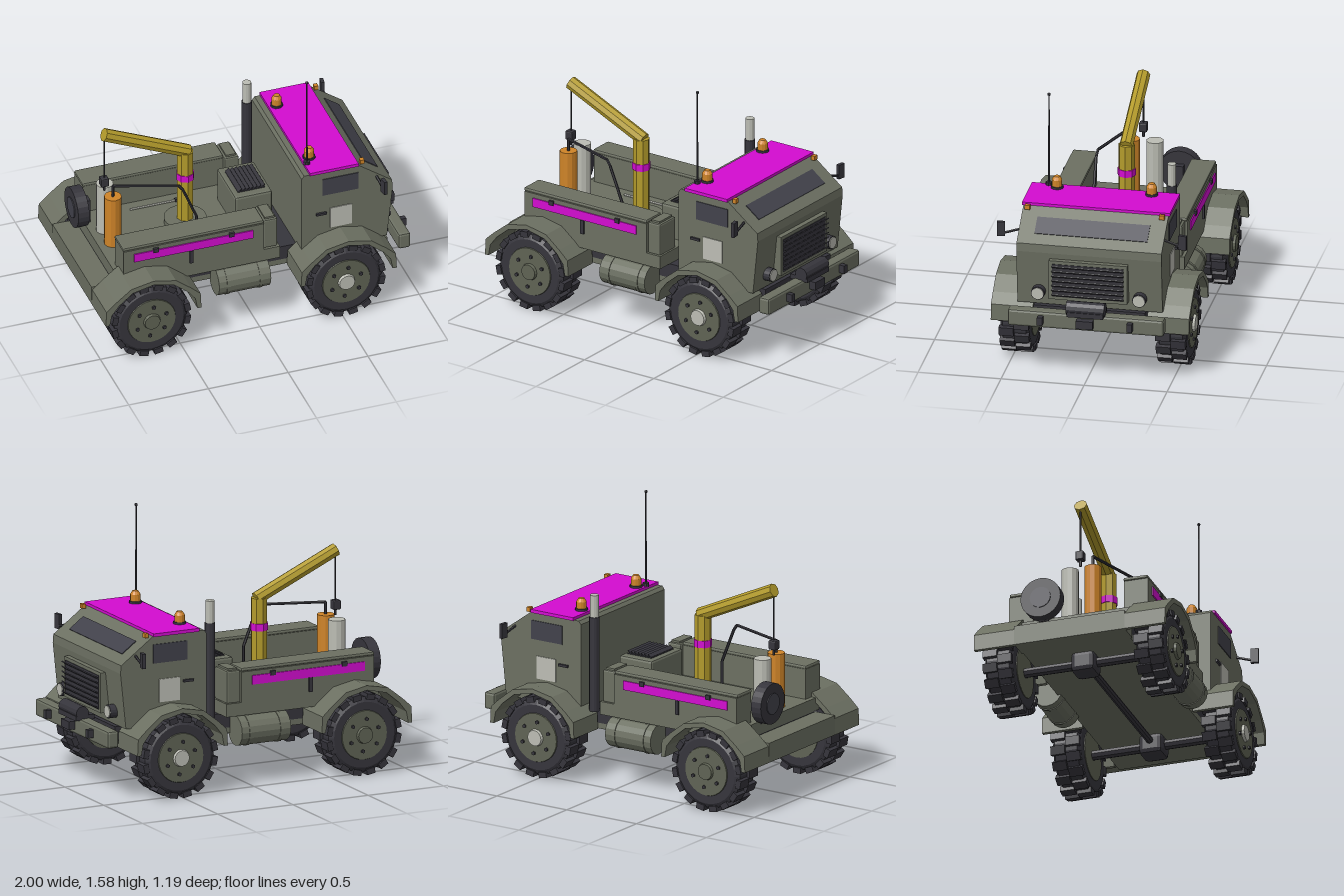
import * as THREE from 'three';
import { RoundedBoxGeometry } from 'three/addons/geometries/RoundedBoxGeometry.js';

const mat = (name, color) => Object.assign(new THREE.MeshStandardMaterial({ color, flatShading: true }), { name });

export function createModel() {
  const M = {
    olive: mat('olive paint', 0x6c7062), dark: mat('black rubber and steel', 0x36353c),
    glass: mat('dark glass', 0x42424b), magenta: mat('magenta paint', 0xd30cd0),
    yellow: mat('crane yellow', 0xb39b2b), orange: mat('orange', 0xcf8428),
    light: mat('light grey', 0xbcbdb4), rim: mat('rim olive', 0x5f6354),
  };
  const truck = new THREE.Group();
  truck.name = 'utilityTruck';

  const add = (name, geo, m, x = 0, y = 0, z = 0, parent = truck) => {
    const mesh = new THREE.Mesh(geo, m);
    mesh.name = name;
    mesh.position.set(x, y, z);
    parent.add(mesh);
    return mesh;
  };
  // box given by its limits on each axis
  const box = (name, m, x0, x1, y0, y1, z0, z1, r = 0) => add(name,
    r ? new RoundedBoxGeometry(x1 - x0, y1 - y0, z1 - z0, 1, r) : new THREE.BoxGeometry(x1 - x0, y1 - y0, z1 - z0),
    m, (x0 + x1) / 2, (y0 + y1) / 2, (z0 + z1) / 2);
  // round bar between two points
  const bar = (name, m, a, b, r, n = 8, r2 = r) => {
    const p = new THREE.Vector3(...a), q = new THREE.Vector3(...b), d = q.clone().sub(p);
    const mesh = add(name, new THREE.CylinderGeometry(r2, r, d.length(), n), m);
    mesh.position.copy(p).add(q).multiplyScalar(0.5);
    mesh.quaternion.setFromUnitVectors(new THREE.Vector3(0, 1, 0), d.normalize());
    return mesh;
  };
  // outline in x and y, extruded from z0 to z1
  const extrude = (name, m, pts, z0, z1, x = 0) => {
    const shape = new THREE.Shape(pts.map(p => new THREE.Vector2(...p)));
    return add(name, new THREE.ExtrudeGeometry(shape, { depth: z1 - z0, bevelEnabled: false }), m, x, 0, z0);
  };
  const sides = fn => [1, -1].forEach(fn);
  // box on both sides, limits given for the +z side
  const pair = (name, m, x0, x1, y0, y1, z0, z1, r) =>
    sides(s => box(name, m, x0, x1, y0, y1, Math.min(s * z0, s * z1), Math.max(s * z0, s * z1), r));

  // chassis and drive train
  box('chassisFrame', M.dark, -0.86, 0.84, 0.335, 0.425, -0.335, 0.335);
  box('underbody', M.olive, -0.86, 0.86, 0.3, 0.335, -0.335, 0.335);
  bar('driveShaft', M.dark, [-0.7, 0.26, 0], [0.52, 0.26, 0], 0.022);
  for (const x of [-0.7, 0.52]) {
    bar('axle', M.dark, [x, 0.25, -0.42], [x, 0.25, 0.42], 0.03);
    box('differential', M.dark, x - 0.075, x + 0.075, 0.18, 0.31, -0.075, 0.075, 0.03);
  }
  sides(s => {
    bar('fuelTank', M.olive, [-0.25, 0.33, s * 0.4], [0.075, 0.33, s * 0.4], 0.092, 16);
    for (const x of [-0.19, 0.015]) bar('tankStrap', M.olive, [x - 0.01, 0.33, s * 0.4], [x + 0.01, 0.33, s * 0.4], 0.096, 16);
  });

  // wheels with staggered tread lugs
  const wheel = (x, s, hubMat) => {
    const g = new THREE.Group();
    g.name = 'wheel';
    g.position.set(x, 0.25, s * 0.472);
    if (s < 0) g.rotation.y = Math.PI;
    truck.add(g);
    const disc = (name, r, r2, w, n, m, z, px = 0, py = 0) =>
      add(name, new THREE.CylinderGeometry(r2, r, w, n).rotateX(Math.PI / 2), m, px, py, z, g);
    disc('tyre', 0.228, 0.228, 0.14, 28, M.dark, 0);
    disc('tyreOuterWall', 0.228, 0.2, 0.018, 28, M.dark, 0.079);
    disc('tyreInnerWall', 0.2, 0.228, 0.018, 28, M.dark, -0.079);
    disc('rim', 0.153, 0.148, 0.012, 28, M.rim, 0.088);
    disc('innerRim', 0.15, 0.15, 0.008, 28, M.rim, -0.088);
    disc('hub', 0.054, 0.048, 0.02, 16, hubMat, 0.1);
    for (let i = 0; i < 6; i++) {
      const a = i * Math.PI / 3 + 0.4;
      disc('wheelBolt', 0.012, 0.012, 0.012, 6, M.dark, 0.098, 0.098 * Math.cos(a), 0.098 * Math.sin(a));
    }
    for (let i = 0; i < 32; i++) {
      const a = i * Math.PI / 16, z = i % 2 ? 0.046 : -0.046;
      const lug = add('treadLug', new THREE.BoxGeometry(0.035, 0.055, 0.088), M.dark, 0.23 * Math.cos(a), 0.23 * Math.sin(a), z, g);
      lug.rotation.z = a;
    }
  };
  sides(s => { wheel(-0.7, s, M.rim); wheel(0.52, s, M.light); });

  // arched fenders
  const outer = [[-0.3, 0.3], [-0.295, 0.4], [-0.235, 0.455], [-0.14, 0.53], [0, 0.558]];
  const inner = [[0, 0.53], [-0.13, 0.5], [-0.215, 0.43], [-0.262, 0.37], [-0.275, 0.3]];
  const flip = pts => pts.slice().reverse().map(([x, y]) => [-x, y]);
  const arch = [...outer, ...flip(outer).slice(1), ...flip(inner), ...inner.slice(1)];
  for (const x of [-0.7, 0.525]) {
    extrude('fender', M.olive, arch, 0.345, 0.597, x);
    extrude('fender', M.olive, arch, -0.597, -0.345, x);
  }

  // cab body
  extrude('cab', M.olive, [[0.285, 0.43], [0.82, 0.43], [0.856, 0.77], [0.852, 0.82], [0.64, 0.975], [0.3, 0.975], [0.285, 0.955]], -0.437, 0.437);
  box('roofPanel', M.magenta, 0.335, 0.64, 0.972, 0.992, -0.446, 0.446);
  const slope = Math.atan2(0.155, 0.212);
  add('windshield', new THREE.BoxGeometry(0.115, 0.008, 0.68), M.glass, 0.748, 0.897, 0).rotation.z = -slope;
  pair('sideWindow', M.glass, 0.415, 0.64, 0.81, 0.925, 0.435, 0.442);
  pair('doorPanel', M.light, 0.463, 0.6, 0.57, 0.71, 0.435, 0.442);
  pair('doorHandle', M.dark, 0.375, 0.44, 0.675, 0.69, 0.436, 0.45);
  sides(s => {
    bar('mirrorArm', M.dark, [0.755, 0.87, s * 0.43], [0.765, 0.835, s * 0.545], 0.008, 6);
    const mirror = add('mirror', new THREE.BoxGeometry(0.022, 0.09, 0.048), M.dark, 0.763, 0.865, s * 0.547);
    mirror.rotation.y = s * 0.15;
    box('markerLight', M.orange, 0.66, 0.685, 0.965, 0.992, s * 0.405 - 0.015, s * 0.405 + 0.015);
    bar('beaconBase', M.dark, [0.385, 0.99, s * 0.285], [0.385, 1.005, s * 0.285], 0.038, 12);
    bar('beacon', M.orange, [0.385, 1.003, s * 0.285], [0.385, 1.045, s * 0.285], 0.031, 12);
    bar('beaconTop', M.orange, [0.385, 1.045, s * 0.285], [0.385, 1.066, s * 0.285], 0.031, 12, 0.018);
  });
  bar('antennaBase', M.dark, [0.352, 0.985, 0.34], [0.352, 1.01, 0.34], 0.02);
  bar('antenna', M.dark, [0.352, 1, 0.34], [0.352, 1.57, 0.34], 0.006, 6, 0.004);
  add('antennaTip', new THREE.SphereGeometry(0.01, 8, 6), M.dark, 0.352, 1.572, 0.34);

  // grille, headlights, winch and bumper
  box('grilleFrame', M.olive, 0.82, 0.884, 0.49, 0.735, -0.236, 0.236);
  box('grilleBack', M.dark, 0.88, 0.888, 0.51, 0.715, -0.216, 0.216);
  for (let i = 0; i < 7; i++)
    add('grilleSlat', new THREE.BoxGeometry(0.034, 0.007, 0.432), M.dark, 0.897, 0.522 + i * 0.03, 0).rotation.z = 0.6;
  sides(s => {
    bar('headlightHousing', M.dark, [0.82, 0.515, s * 0.305], [0.874, 0.515, s * 0.305], 0.041, 16);
    bar('headlight', M.light, [0.87, 0.515, s * 0.305], [0.88, 0.515, s * 0.305], 0.036, 16);
    box('bumperBracket', M.dark, 0.82, 0.89, 0.34, 0.4, s * 0.25 - 0.03, s * 0.25 + 0.03);
    box('towHook', M.dark, 0.955, 0.995, 0.36, 0.41, s * 0.27 - 0.016, s * 0.27 + 0.016);
  });
  box('bumper', M.olive, 0.882, 0.958, 0.33, 0.435, -0.47, 0.47, 0.015);
  bar('winchDrum', M.dark, [0.942, 0.47, -0.115], [0.942, 0.47, 0.115], 0.042, 12);
  box('winchMount', M.dark, 0.86, 0.985, 0.425, 0.455, -0.11, 0.11);
  box('winchGuide', M.dark, 0.955, 1, 0.36, 0.41, -0.05, 0.05);

  // cargo deck and rear step
  box('deck', M.olive, -0.86, 0.15, 0.425, 0.505, -0.435, 0.435);
  box('rearStep', M.olive, -1, -0.86, 0.3, 0.42, -0.345, 0.345);
  pair('storageBox', M.olive, -0.83, 0.05, 0.5, 0.69, 0.285, 0.435);
  pair('storageLid', M.olive, -0.835, 0.05, 0.69, 0.713, 0.28, 0.432, 0.009);
  pair('sideStripe', M.magenta, -0.765, -0.02, 0.607, 0.662, 0.434, 0.442);
  for (const x of [-0.63, -0.155]) pair('lidLatch', M.dark, x - 0.016, x + 0.016, 0.65, 0.678, 0.435, 0.449);
  pair('boxHandle', M.dark, -0.418, -0.396, 0.52, 0.607, 0.435, 0.447);
  pair('frontLocker', M.olive, 0.05, 0.14, 0.5, 0.7, 0.26, 0.42, 0.01);
  pair('lockerLid', M.olive, 0.065, 0.125, 0.69, 0.712, 0.275, 0.405);
  box('engineCover', M.olive, -0.035, 0.2, 0.425, 0.715, -0.165, 0.165, 0.015);
  box('coverVent', M.dark, 0, 0.17, 0.71, 0.719, -0.115, 0.115);
  for (let i = 0; i < 7; i++)
    add('ventSlat', new THREE.BoxGeometry(0.026, 0.006, 0.23), M.dark, 0.015 + i * 0.024, 0.727, 0).rotation.z = 0.6;
  bar('toolBar', M.light, [-0.56, 0.512, -0.21], [-0.28, 0.512, -0.21], 0.007, 6);
  box('toolHandle', M.dark, -0.28, -0.225, 0.503, 0.522, -0.22, -0.2);

  // exhaust stack
  bar('exhaustPipe', M.dark, [0.23, 0.42, -0.375], [0.23, 1, -0.375], 0.031, 12);
  bar('exhaustTip', M.light, [0.23, 1, -0.375], [0.23, 1.135, -0.375], 0.027, 12);

  // spare wheel
  bar('spareTyre', M.dark, [-0.93, 0.617, -0.205], [-0.86, 0.617, -0.205], 0.125, 24);
  bar('spareHub', M.glass, [-0.936, 0.617, -0.205], [-0.92, 0.617, -0.205], 0.065, 16);
  box('spareMount', M.dark, -0.87, -0.82, 0.49, 0.66, -0.235, -0.175);

  // crane
  bar('turntable', M.olive, [-0.29, 0.5, 0], [-0.29, 0.535, 0], 0.127, 28);
  bar('cranePost', M.yellow, [-0.29, 0.53, 0], [-0.29, 1.01, 0], 0.05, 8);
  bar('craneBand', M.magenta, [-0.29, 0.815, 0], [-0.29, 0.858, 0], 0.055, 8);
  bar('craneBoom', M.yellow, [-0.27, 1.005, 0], [-0.8, 1.245, 0], 0.041, 8);
  bar('craneCable', M.dark, [-0.797, 1.23, 0], [-0.797, 0.92, 0], 0.005, 6);
  box('hookBlock', M.dark, -0.824, -0.774, 0.88, 0.938, -0.025, 0.025, 0.008);
  bar('hook', M.dark, [-0.797, 0.885, 0], [-0.797, 0.845, 0], 0.008, 6);

  // gas bottles and hose
  bar('orangeBottle', M.orange, [-0.768, 0.5, 0.068], [-0.768, 0.84, 0.068], 0.052, 12);
  bar('greyBottle', M.light, [-0.768, 0.5, -0.075], [-0.768, 0.84, -0.075], 0.052, 12);
  const hose = [[-0.768, 0.84, 0.068], [-0.768, 0.913, 0.068], [-0.4, 0.912, 0.195], [-0.375, 0.88, 0.2], [-0.29, 0.67, 0.2], [-0.29, 0.505, 0.2]];
  for (let i = 1; i < hose.length; i++) bar('hose', M.dark, hose[i - 1], hose[i], 0.009, 6);

  return truck;
}
